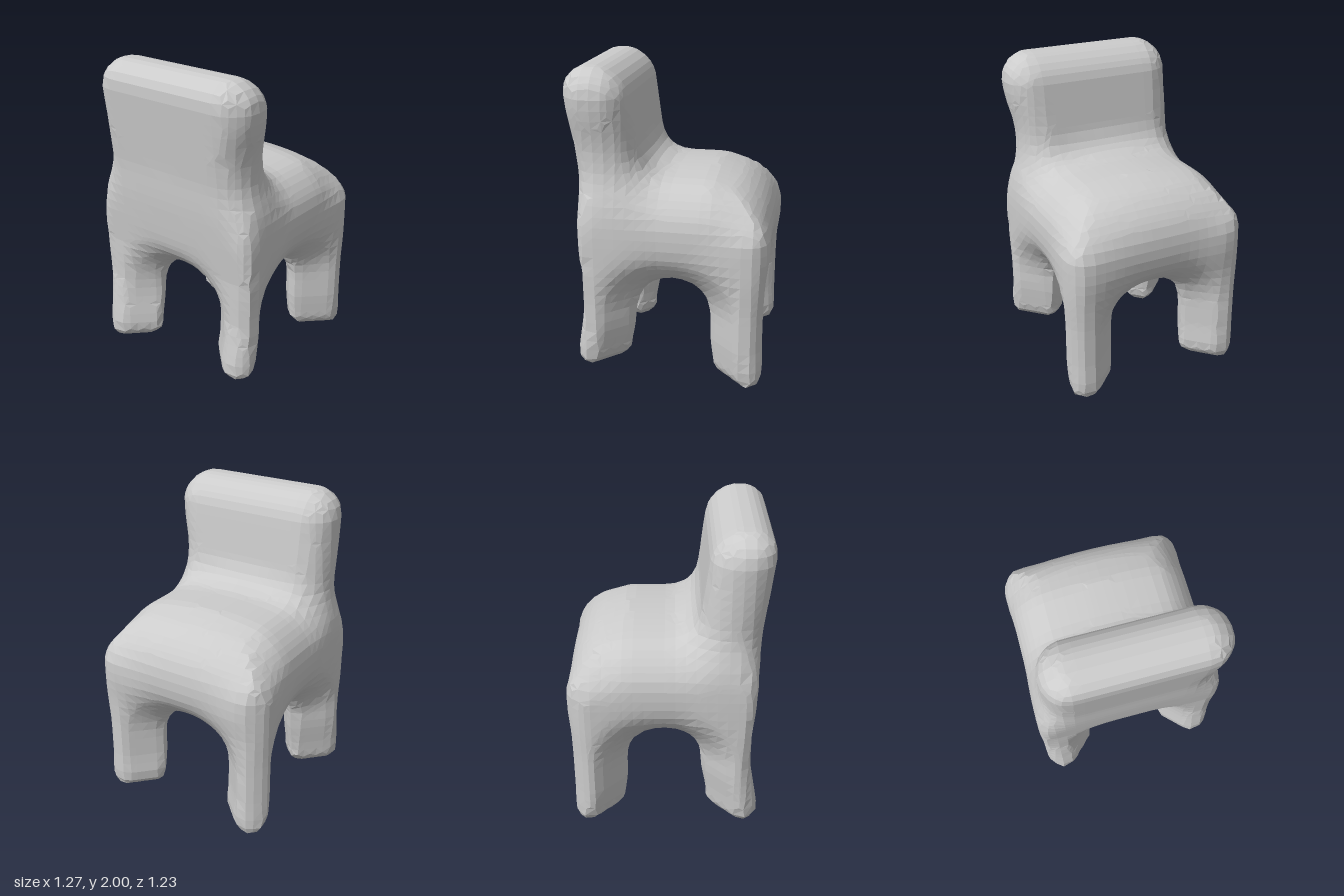
import * as THREE from 'three';

const { smoothstep, clamp } = THREE.MathUtils;

// Rounded-in distance: combine a plan distance with a vertical distance, rounding the edge by r
function roundEdge(d, e, r) {
  const a = d + r, b = e + r;
  return Math.min(Math.max(a, b), 0) + Math.hypot(Math.max(a, 0), Math.max(b, 0)) - r;
}
function rect(u, v, hu, hv, r) {
  return roundEdge(Math.abs(u) - hu, Math.abs(v) - hv, r);
}
function blend(a, b, k) {
  const h = Math.max(k - Math.abs(a - b), 0) / k;
  return Math.min(a, b) - h * h * k / 4;
}
function trim(a, b) {
  return -blend(-a, -b, 0.04);
}

// Cushion-like seat block, its top falling towards the front and the sides
function seat(x, y, z) {
  const plan = rect(x - 0.04, z, 0.585, 0.605, 0.1);
  const drop = 0.3 * Math.max(0, x - 0.25) + 0.25 * z * z;
  return y > 0.987
    ? roundEdge(plan, y + drop - 1.337, 0.26)
    : roundEdge(plan, 0.64 - y, 0.32);
}

// Thick backrest, leaning outwards, slightly wider towards the top
function backrest(x, y, z) {
  const cx = -0.37 - 0.13 * (y - 1.2);
  const top = smoothstep(y, 1.45, 1.85);
  return roundEdge(rect(y - 1.4, z - 0.03 * top, 0.6, 0.54 + 0.03 * top, 0.19), Math.abs(x - cx) - 0.2, 0.19);
}

// Leg with a long section that points at the middle of the seat; one rear foot is shorter
function leg(x, y, z, sx, sz) {
  const rearLean = 0.04 * (1 - smoothstep(y, 0.1, 0.4));
  const frontLean = 0.02 * (1 - smoothstep(y, 0.08, 0.28));
  const u = x * sx - (sx > 0 ? 0.442 + frontLean : 0.405 + rearLean);
  const v = z * sz - 0.442;
  const plan = rect((u + v) * Math.SQRT1_2, (u - v) * Math.SQRT1_2, 0.185, 0.108, 0.06);
  const foot = sx < 0 && sz > 0 ? 0.07 : 0;
  return roundEdge(plan, Math.max(foot - y, y - 0.9), 0.11);
}

// All parts melted together, with flat outer sides and bevelled corners
function chair(x, y, z) {
  let d = blend(seat(x, y, z), backrest(x, y, z), 0.2);
  let legs = Infinity;
  for (const sx of [-1, 1]) for (const sz of [-1, 1]) legs = Math.min(legs, leg(x, y, z, sx, sz));
  d = blend(d, legs, 0.26);
  const rear = -0.54 - 0.1 * Math.max(0, y - 0.75) - 0.08 * Math.max(0, 1 - y / 0.45);
  const front = 0.607 + 0.022 * smoothstep(y, 0.65, 0.9);
  d = trim(d, Math.abs(z) - 0.613);
  d = trim(d, Math.max(x - front, rear - x));
  const bevel = x > 0 && z > 0 ? 1.165 : 1.14;
  return trim(d, (Math.abs(x) + Math.abs(z) - bevel) * Math.SQRT1_2);
}

// Faceted skin over a distance function, one point per grid cell on the surface
function skin(f, min, size, step) {
  const n = size.map((s) => Math.ceil(s / step) + 1);
  const stride = [1, n[0], n[0] * n[1]];
  const at = (i, j, k) => i + j * stride[1] + k * stride[2];
  const values = new Float32Array(n[0] * n[1] * n[2]);
  for (let k = 0; k < n[2]; k++) for (let j = 0; j < n[1]; j++) for (let i = 0; i < n[0]; i++) {
    values[at(i, j, k)] = f(min[0] + i * step, min[1] + j * step, min[2] + k * step);
  }

  const points = [], index = [], cell = new Map();
  for (let k = 0; k < n[2] - 1; k++) for (let j = 0; j < n[1] - 1; j++) for (let i = 0; i < n[0] - 1; i++) {
    // average of the crossings on the twelve edges of the cell
    const sum = [0, 0, 0];
    let count = 0;
    for (let c = 0; c < 8; c++) for (let a = 0; a < 3; a++) {
      if (c >> a & 1) continue;
      const p = [i + (c & 1), j + (c >> 1 & 1), k + (c >> 2 & 1)];
      const v0 = values[at(...p)], v1 = values[at(...p) + stride[a]];
      if ((v0 < 0) === (v1 < 0)) continue;
      p[a] += v0 / (v0 - v1);
      for (let q = 0; q < 3; q++) sum[q] += p[q];
      count++;
    }
    if (!count) continue;
    const p = sum.map((s, q) => min[q] + s / count * step);
    // settle the point on the surface
    for (let t = 0; t < 3; t++) {
      const d = f(...p), e = 0.01;
      const g = [0, 1, 2].map((q) => {
        const a = p.slice(), b = p.slice();
        a[q] += e;
        b[q] -= e;
        return (f(...a) - f(...b)) / (2 * e);
      });
      const m = Math.max(g[0] ** 2 + g[1] ** 2 + g[2] ** 2, 0.3);
      const move = clamp(d / m, -step / 3, step / 3);
      for (let q = 0; q < 3; q++) p[q] -= g[q] * move;
    }
    cell.set(at(i, j, k), points.length / 3);
    points.push(...p);
  }

  // a quad around every grid edge that crosses the surface
  for (let k = 1; k < n[2] - 1; k++) for (let j = 1; j < n[1] - 1; j++) for (let i = 1; i < n[0] - 1; i++) {
    const o = at(i, j, k);
    for (let a = 0; a < 3; a++) {
      const inside = values[o] < 0;
      if (inside === (values[o + stride[a]] < 0)) continue;
      const b = stride[(a + 1) % 3], c = stride[(a + 2) % 3];
      const quad = [o, o - b, o - b - c, o - c].map((id) => cell.get(id));
      if (!inside) quad.reverse();
      index.push(quad[0], quad[1], quad[2], quad[0], quad[2], quad[3]);
    }
  }
  const geometry = new THREE.BufferGeometry();
  geometry.setAttribute('position', new THREE.Float32BufferAttribute(points, 3));
  geometry.setIndex(index);
  geometry.computeVertexNormals();
  return geometry;
}

export function createModel() {
  const group = new THREE.Group();
  group.name = 'chair';
  const material = new THREE.MeshStandardMaterial({ color: 0xcccccc, flatShading: true });
  const body = new THREE.Mesh(skin(chair, [-0.8, -0.16, -0.8], [1.6, 2.36, 1.6], 0.065), material);
  body.name = 'seatBackrestAndLegs';
  group.add(body);
  return group;
}
